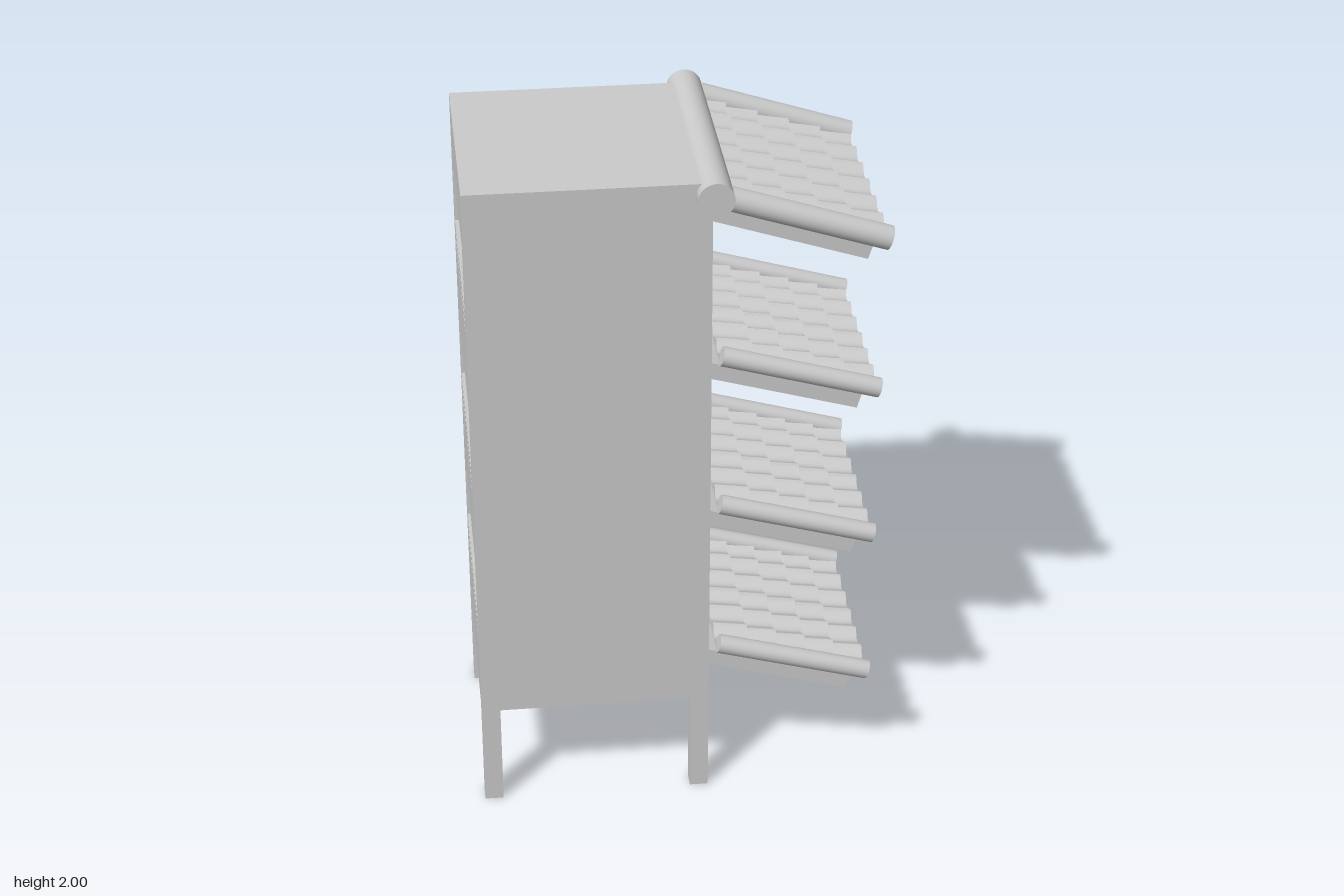
import * as THREE from 'three';
import { toCreasedNormals } from 'three/addons/utils/BufferGeometryUtils.js';

const grey = new THREE.MeshStandardMaterial({ color: 0xcccccc });
const X0 = -0.58, X1 = 0.085, Z0 = -0.32, Z1 = 0.34, WALL = 0.048;
const BASE = 0.32, TOP = 1.985, MID_Z = (Z0 + Z1) / 2;

function add(parent, name, geometry) {
  const mesh = new THREE.Mesh(geometry, grey);
  mesh.name = name;
  parent.add(mesh);
  return mesh;
}

// Box given by its two extreme corners
function block(parent, name, x0, x1, y0, y1, z0, z1) {
  const mesh = add(parent, name, new THREE.BoxGeometry(x1 - x0, y1 - y0, z1 - z0));
  mesh.position.set((x0 + x1) / 2, (y0 + y1) / 2, (z0 + z1) / 2);
  return mesh;
}

function rectHole(shape, x0, x1, y0, y1) {
  const hole = new THREE.Path();
  hole.moveTo(x0, y0).lineTo(x0, y1).lineTo(x1, y1).lineTo(x1, y0).closePath();
  shape.holes.push(hole);
}

// Back wall with three windows and paired slots below each
function backWall() {
  const h = (Z1 - Z0) / 2 - WALL;
  const shape = new THREE.Shape();
  shape.moveTo(-h, BASE).lineTo(h, BASE).lineTo(h, TOP).lineTo(-h, TOP).closePath();
  for (const sill of [0.617, 1.11, 1.612]) {
    rectHole(shape, -h + 0.002, h - 0.002, sill, sill + 0.2);
    for (const drop of [0.03, 0.064])
      for (const side of [-1, 1]) {
        const c = side * 0.149;
        rectHole(shape, c - 0.124, c + 0.124, sill - drop, sill - drop + 0.014);
      }
  }
  const geo = new THREE.ExtrudeGeometry(shape, { depth: 0.03, bevelEnabled: false });
  return geo.rotateY(Math.PI / 2);
}

// One wavy course of roof tiles, running downhill along +x
function tileCourse(width, tiles, length) {
  const steps = 10, thickness = 0.02, upper = [];
  for (let i = 0; i < tiles; i++)
    for (let j = 0; j <= steps; j++) {
      const t = j / steps;
      const x = (i + t * 0.998) / tiles * width - width / 2;
      upper.push(new THREE.Vector2(x, 0.009 * Math.cos(t * Math.PI * 2) + 0.004 * (t - 0.5)));
    }
  const lower = upper.map(p => new THREE.Vector2(p.x, p.y - thickness)).reverse();
  const shape = new THREE.Shape([...lower.reverse(), ...upper.reverse()]);
  const geo = new THREE.ExtrudeGeometry(shape, { depth: length, bevelEnabled: false });
  return toCreasedNormals(geo.rotateY(Math.PI / 2), 0.6);
}

// Sloping tiled canopy: local x runs downhill, local y is the roof normal
function canopy(o) {
  const g = new THREE.Group();
  g.name = o.name;
  g.position.set(o.x, o.y, o.z);
  g.rotation.z = -o.angle;
  block(g, 'canopyBoard', -0.02, o.boardEnd, -0.074, -o.radius + 0.002, -o.boardHalf, o.boardHalf);
  for (const side of [-1, 1]) {
    const roll = add(g, 'edgeRoll', new THREE.CylinderGeometry(o.radius, o.radius, o.length, 24));
    roll.rotation.z = Math.PI / 2;
    roll.position.set(o.length / 2, 0, side * o.rollZ);
  }
  const courses = 5, pitch = (o.length - 0.012) / courses;
  const geo = tileCourse(o.rollZ * 2 - o.radius, 6, pitch + 0.012);
  for (let i = 0; i < courses; i++) {
    const course = add(g, 'tileCourse', geo);
    course.position.set(i * pitch, -0.012, 0);
    course.rotation.z = 0.13;
  }
  return g;
}

export function createModel() {
  const model = new THREE.Group();
  model.name = 'tieredStall';

  // Cabinet: side walls, floors, roof slab and back
  const cabinet = new THREE.Group();
  cabinet.name = 'cabinet';
  model.add(cabinet);
  block(cabinet, 'sideWall', X0, X1, BASE, TOP, Z0, Z0 + WALL);
  block(cabinet, 'sideWall', X0, X1, BASE, TOP, Z1 - WALL, Z1);
  const slabs = [['floor', BASE, 0.525], ['shelf', 0.9, 1.005], ['shelf', 1.385, 1.49], ['roofSlab', 1.88, TOP]];
  for (const [name, y0, y1] of slabs)
    block(cabinet, name, X0 + 0.03, X1, y0, y1, Z0 + WALL, Z1 - WALL);
  add(cabinet, 'backWall', backWall()).position.set(X0, 0, MID_Z);

  // Legs
  for (const x of [X0, X1 - 0.054])
    for (const z of [Z0, Z1 - WALL])
      block(model, 'leg', x, x + 0.054, 0, BASE, z, z + WALL);

  // Three shelf canopies
  for (const y of [0.482, 0.962, 1.442])
    model.add(canopy({
      name: 'shelfCanopy', x: 0.117, y, z: 0.005, angle: 0.28, length: 0.461,
      radius: 0.028, rollZ: 0.297, boardEnd: 0.418, boardHalf: 0.3,
    }));

  // Larger top canopy with its ridge roll
  model.add(canopy({
    name: 'topCanopy', x: 0.1, y: 1.947, z: -0.002, angle: 0.312, length: 0.488,
    radius: 0.034, rollZ: 0.338, boardEnd: 0.45, boardHalf: 0.342,
  }));
  const ridge = add(model, 'ridgeRoll', new THREE.CylinderGeometry(0.05, 0.05, 0.75, 32));
  ridge.rotation.x = Math.PI / 2;
  ridge.position.set(0.09, 1.95, 0);
  return model;
}
